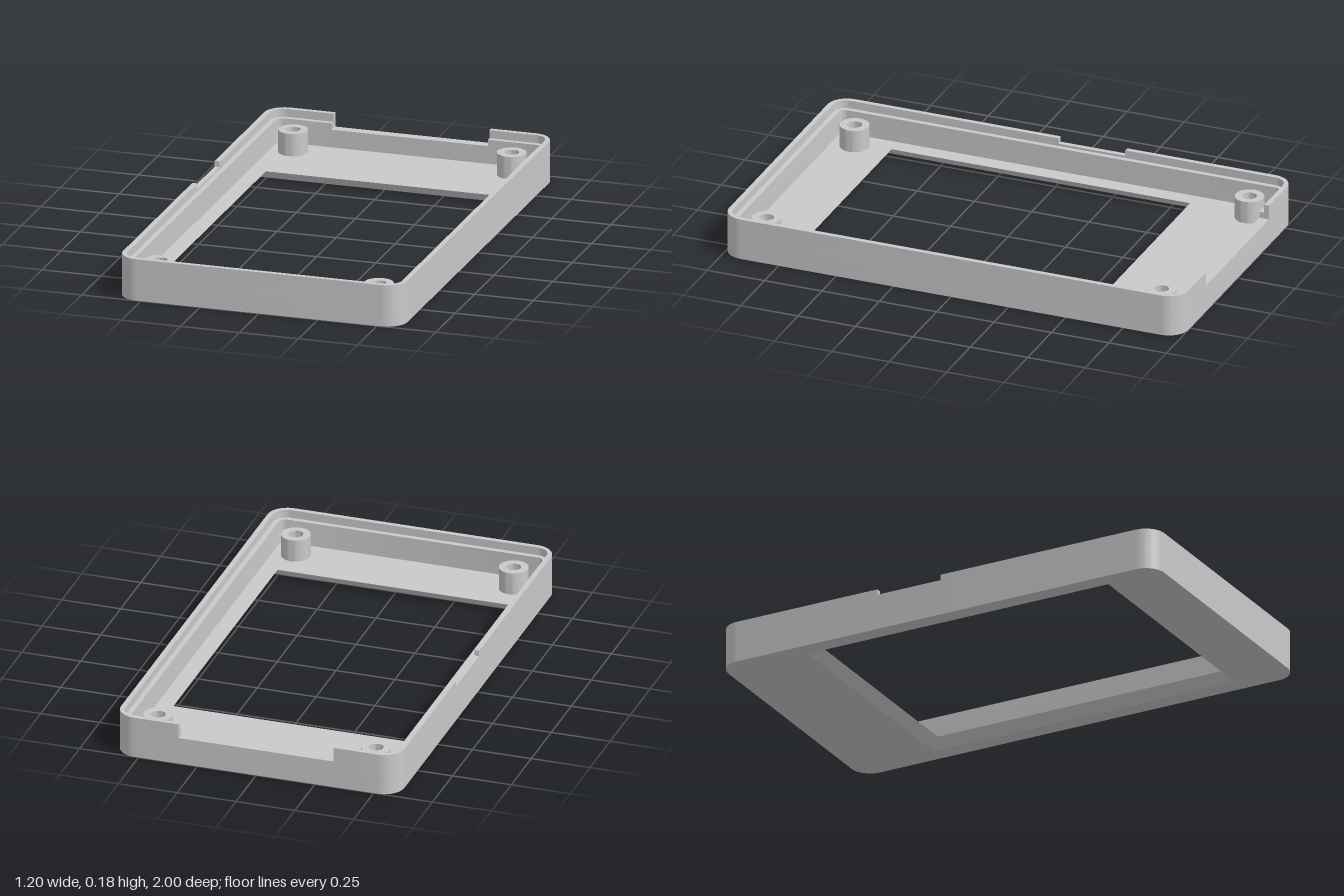
import * as THREE from 'three';
import { toCreasedNormals } from 'three/addons/utils/BufferGeometryUtils.js';

const W = 0.602, D = 1, R = 0.085;          // outer half width, half depth, corner radius
const LIP = 0.021, WALL = 0.042;            // lip and wall thickness
const FLOOR = 0.04, CUT = 0.115, LEDGE = 0.142, SIDE_CUT = 0.152, TOP = 0.176;
const GAP = 0.33, CUT_FRONT = 0.02, CUT_BACK = -0.27;
const STEPS = 14;

// Outline from one end of the back opening round to the other, as (x, -z)
function outline(inset) {
  const w = W - inset, d = D - inset, r = R - 1.4 * inset, pts = [];
  const add = (x, z) => pts.push(new THREE.Vector2(x, -z));
  const corner = (sx, sz, start) => {
    for (let i = 0; i <= STEPS; i++) {
      const a = start + (i / STEPS) * Math.PI / 2;
      add(sx * (w - r) + r * Math.cos(a), sz * (d - r) + r * Math.sin(a));
    }
  };
  add(GAP, -d);
  corner(1, -1, -Math.PI / 2);
  corner(1, 1, 0);
  corner(-1, 1, Math.PI / 2);
  add(-w, CUT_FRONT);
  add(-w, CUT_BACK);
  corner(-1, -1, Math.PI);
  add(-GAP, -d);
  return pts;
}

// Counter-clockwise plate with a clockwise hole, so that every side faces out
function plateWithHole(holePoints) {
  const shape = new THREE.Shape(outline(0).reverse());
  shape.holes.push(new THREE.Path(holePoints));
  return shape;
}

// Raise a plan shape between two heights
function raise(shape, y0, y1) {
  const g = new THREE.ExtrudeGeometry(shape, { depth: y1 - y0, bevelEnabled: false });
  g.rotateX(-Math.PI / 2);
  g.translate(0, y0, 0);
  return g;
}

// Wall strip following part of the outline
function strip(inset, from, to) {
  const outer = outline(0).slice(from, to), inner = outline(inset).slice(from, to);
  return new THREE.Shape([...outer, ...inner.reverse()]);
}

export function createModel() {
  const group = new THREE.Group();
  group.name = 'enclosureFrame';
  const grey = new THREE.MeshStandardMaterial({ color: 0xcacaca });
  grey.name = 'grey';
  const add = (name, geometry) => {
    const mesh = new THREE.Mesh(toCreasedNormals(geometry, 0.5), grey);
    mesh.name = name;
    group.add(mesh);
    return mesh;
  };

  // Floor plate with a window that flares out towards the underside
  const x = 0.49, zb = -0.59, zf = 0.71, flare = 0.04;
  const windowCorners = [[-x, zb], [x, zb], [x, zf], [-x, zf]]
    .map(([px, pz]) => new THREE.Vector2(px, -pz));
  const floor = raise(plateWithHole(windowCorners), 0, FLOOR);
  const p = floor.attributes.position;
  for (let i = 0; i < p.count; i++) {
    const inWindow = Math.abs(p.getX(i)) < x + 0.001 && p.getZ(i) > zb - 0.001 && p.getZ(i) < zf + 0.001;
    if (inWindow && p.getY(i) < 0.001) {
      p.setX(i, p.getX(i) + Math.sign(p.getX(i)) * flare);
      p.setZ(i, p.getZ(i) + Math.sign(p.getZ(i)) * flare);
    }
  }
  add('floorPlate', floor);

  // Lower wall all the way round
  add('lowerWall', raise(plateWithHole(outline(WALL)), FLOOR, CUT));

  // Upper wall and lip, open at the back, with a shallow cut in the side lip
  const n = outline(0).length, split = 1 + 3 * (STEPS + 1);
  add('upperWall', raise(strip(WALL, 0, n), CUT, LEDGE));
  add('lipBase', raise(strip(LIP, 0, n), LEDGE, SIDE_CUT));
  add('lipLong', raise(strip(LIP, 0, split + 1), SIDE_CUT, TOP));
  add('lipShort', raise(strip(LIP, split + 1, n), SIDE_CUT, TOP));

  // Hollow screw posts in the four corners
  const profile = [[0.06, FLOOR], [0.06, 0.135], [0.03, 0.135], [0.03, FLOOR]]
    .map(([r, y]) => new THREE.Vector2(r, y));
  for (const sx of [-1, 1]) {
    for (const sz of [-1, 1]) {
      add('screwPost', new THREE.LatheGeometry(profile, 40)).position.set(sx * 0.463, 0, sz * 0.86);
    }
  }
  return group;
}
